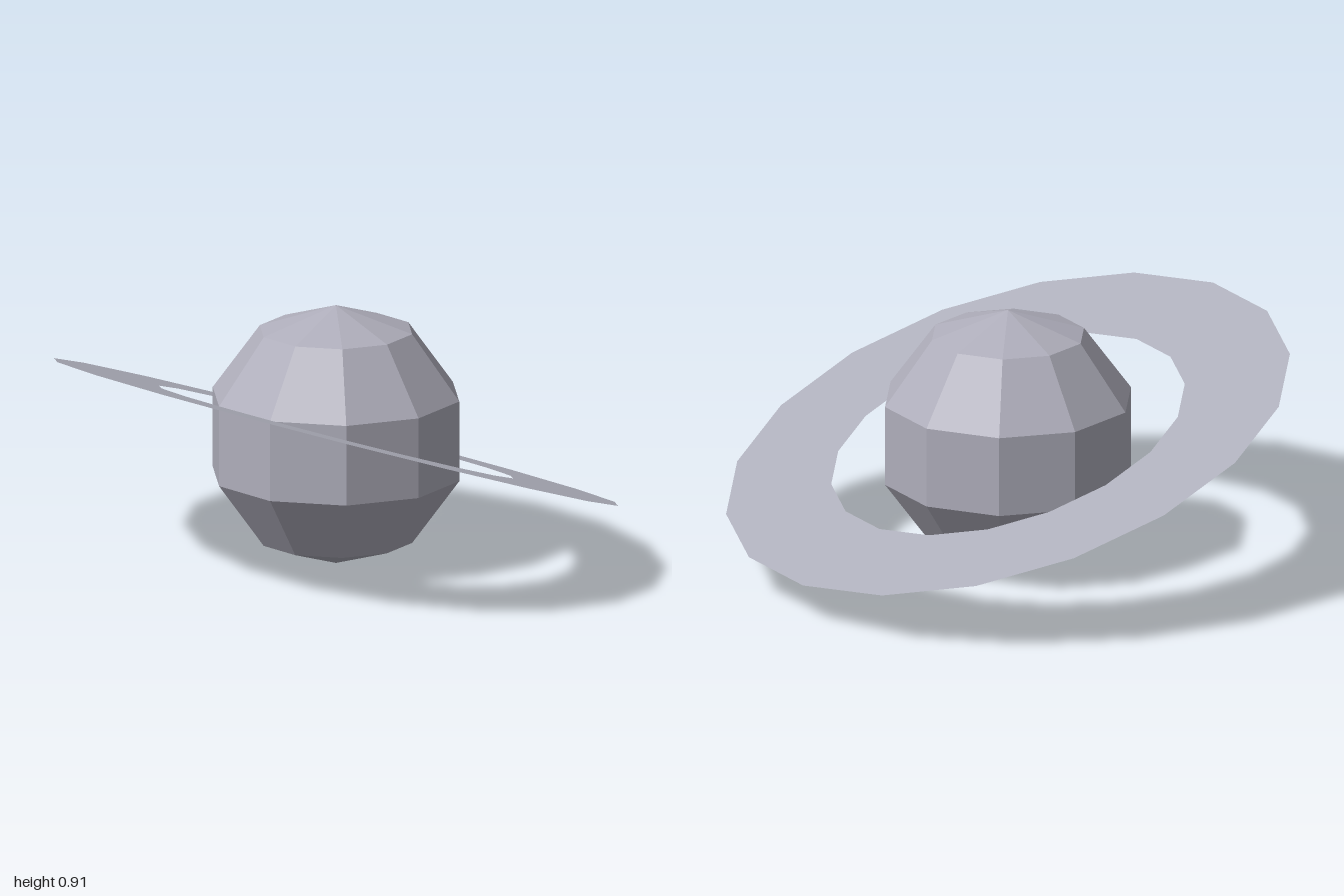
import * as THREE from 'three';

export function createModel() {
  const model = new THREE.Group();
  model.name = 'ringedPlanet';

  const planetGrey = new THREE.MeshStandardMaterial({ color: 0xafaebb, flatShading: true });
  planetGrey.name = 'planetGrey';
  const ringGrey = new THREE.MeshStandardMaterial({ color: 0xafb0bc, flatShading: true, side: THREE.DoubleSide });
  ringGrey.name = 'ringGrey';

  // Low-poly planet standing on its lower pole
  const radius = 0.453;
  const planet = new THREE.Mesh(new THREE.SphereGeometry(radius, 10, 5), planetGrey);
  planet.name = 'planet';
  planet.position.y = radius;

  // Paper-thin flat ring, raised towards the front
  const ring = new THREE.Mesh(new THREE.RingGeometry(0.627, 1, 18, 1), ringGrey);
  ring.name = 'ring';
  ring.position.y = 0.46;
  ring.rotation.x = -Math.PI / 2 - THREE.MathUtils.degToRad(19.2);

  model.add(planet, ring);
  return model;
}
